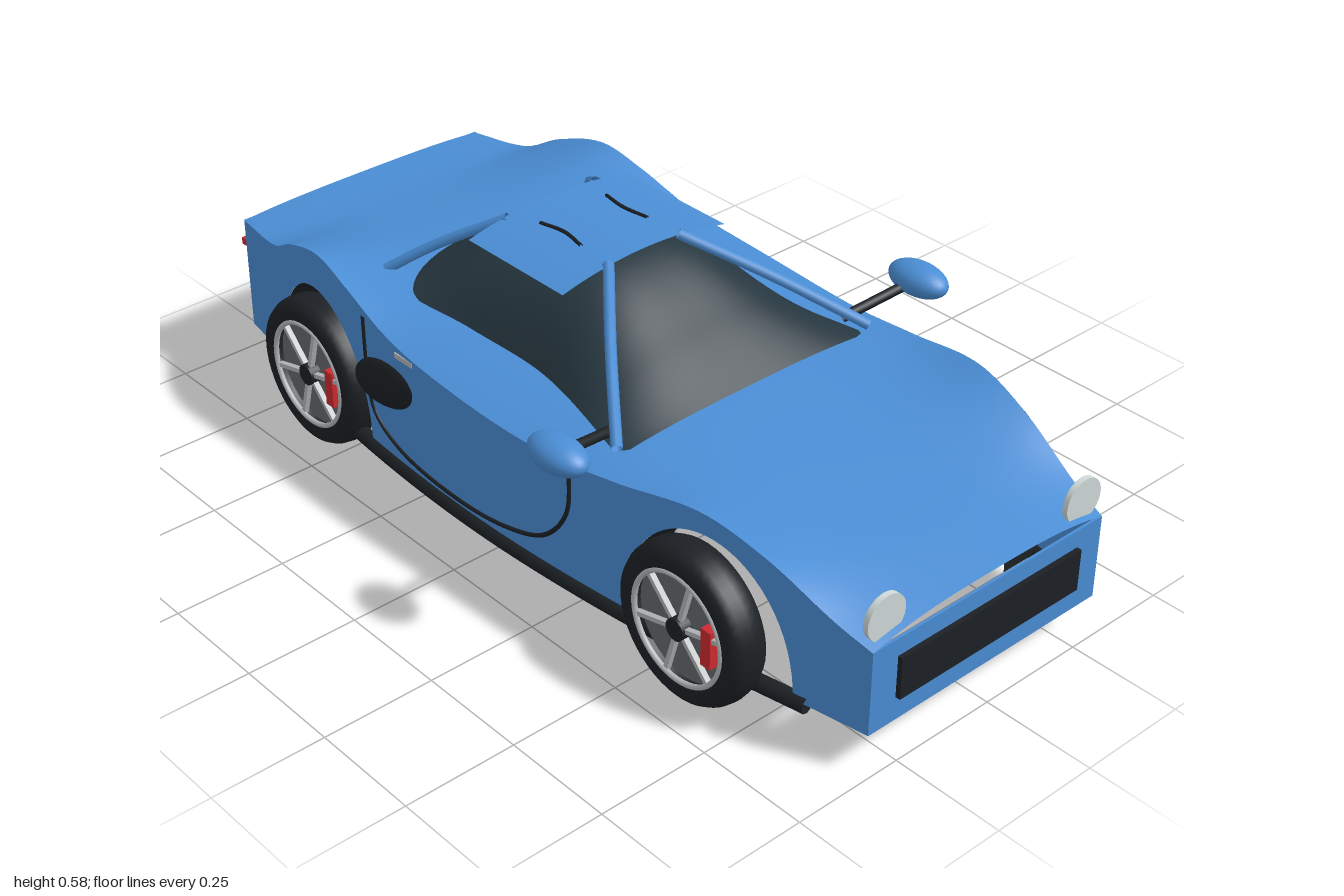
import * as THREE from 'three';

const mat = (color, side = THREE.DoubleSide) => new THREE.MeshStandardMaterial({ color, side });
const BLUE = mat(0x4a8dd4), GLASS = mat(0x26363f), BLACK = mat(0x1c2024), RED = mat(0xcc2a30);
const PALE = mat(0xd0dad8), GREY = mat(0x66696c), SILVER = mat(0xb4b8ba), FLOOR = mat(0x14181c, THREE.FrontSide);
const V = (x, y, z) => new THREE.Vector3(x, y, z);

// Smooth function of x through a few [x, value] points
function profile(pts) {
  const slope = i => {
    const a = pts[Math.max(i - 1, 0)], b = pts[Math.min(i + 1, pts.length - 1)];
    return (b[1] - a[1]) / (b[0] - a[0]);
  };
  return x => {
    let i = 0;
    while (i < pts.length - 2 && x > pts[i + 1][0]) i++;
    const [x0, y0] = pts[i], [x1, y1] = pts[i + 1], d = x1 - x0;
    const t = Math.min(Math.max((x - x0) / d, 0), 1), t2 = t * t, t3 = t2 * t;
    return (2 * t3 - 3 * t2 + 1) * y0 + (t3 - 2 * t2 + t) * d * slope(i)
      + (3 * t2 - 2 * t3) * y1 + (t3 - t2) * d * slope(i + 1);
  };
}

const halfWidth = profile([[-0.96, 0.33], [-0.5, 0.405], [0, 0.43], [0.5, 0.395], [0.985, 0.315]]);
const fenderY = profile([[-0.96, 0.36], [-0.8, 0.375], [-0.7, 0.425], [-0.57, 0.46], [-0.45, 0.435], [-0.3, 0.39],
  [-0.1, 0.37], [0.2, 0.362], [0.4, 0.385], [0.6, 0.415], [0.75, 0.38], [0.9, 0.31], [0.985, 0.28]]);
const centreY = profile([[-0.96, 0.37], [-0.8, 0.38], [-0.57, 0.415], [-0.4, 0.425], [-0.1, 0.41], [0.33, 0.39],
  [0.6, 0.365], [0.8, 0.34], [0.985, 0.308]]);
const ARCHES = [{ x: -0.585, r: 0.203, wheel: -0.58 }, { x: 0.615, r: 0.205, wheel: 0.605 }];
const BASE = 0.09, ARCH_H = 0.278;

// Surface from a grid of points fn(i, j)
function grid(nu, nv, fn) {
  const pos = [], idx = [];
  for (let i = 0; i <= nu; i++) for (let j = 0; j <= nv; j++) pos.push(...fn(i, j));
  for (let i = 0; i < nu; i++) for (let j = 0; j < nv; j++) {
    const a = i * (nv + 1) + j, b = a + nv + 1;
    idx.push(a, a + 1, b, b, a + 1, b + 1);
  }
  const g = new THREE.BufferGeometry();
  g.setAttribute('position', new THREE.Float32BufferAttribute(pos, 3));
  g.setIndex(idx);
  g.computeVertexNormals();
  return g;
}

function add(parent, name, geo, material, x = 0, y = 0, z = 0) {
  const m = new THREE.Mesh(geo, material);
  m.name = name;
  m.position.set(x, y, z);
  parent.add(m);
  return m;
}
const tube = (pts, r, n = 32) => new THREE.TubeGeometry(new THREE.CatmullRomCurve3(pts), n, r, 8);
const box = (x, y, z) => new THREE.BoxGeometry(x, y, z);

// Columns of the side panel, packed closely at the arch ends
function sideColumns() {
  const cols = [];
  const line = (a, b, n) => { for (let i = 0; i <= n; i++) cols.push([a + (b - a) * i / n, BASE]); };
  let from = -0.96;
  for (const { x, r } of ARCHES) {
    line(from, x - r, 16);
    for (let i = 1; i < 32; i++) {
      const a = Math.PI * i / 32;
      cols.push([x - r * Math.cos(a), BASE + ARCH_H * Math.sin(a)]);
    }
    from = x + r;
  }
  line(from, 0.985, 12);
  return cols;
}

function makeWheel() {
  const wheel = new THREE.Group();
  wheel.name = 'wheel';
  const spin = g => g.rotateX(Math.PI / 2);
  const tyre = [[0.122, -0.04], [0.145, -0.044], [0.16, -0.038], [0.169, -0.022], [0.172, 0],
    [0.169, 0.022], [0.16, 0.038], [0.145, 0.044], [0.122, 0.04]].map(p => new THREE.Vector2(...p));
  add(wheel, 'tyre', spin(new THREE.LatheGeometry(tyre, 48)), BLACK);
  add(wheel, 'brakeDisc', spin(new THREE.CylinderGeometry(0.122, 0.122, 0.04, 40)), GREY);
  add(wheel, 'rim', new THREE.TorusGeometry(0.12, 0.006, 8, 48), SILVER, 0, 0, 0.038);
  add(wheel, 'hub', spin(new THREE.CylinderGeometry(0.024, 0.024, 0.03, 20)), BLACK, 0, 0, 0.03);
  for (let i = 0; i < 6; i++) {
    const a = i * Math.PI / 3 + 0.25;
    const spoke = add(wheel, 'spoke', box(0.1, 0.01, 0.012), SILVER, 0.07 * Math.cos(a), 0.07 * Math.sin(a), 0.033);
    spoke.rotation.z = a;
  }
  add(wheel, 'brakeCaliper', box(0.026, 0.085, 0.025), RED, 0.08, 0, 0.028);
  return wheel;
}

// Everything on the +z side; mirrored for the other one
function makeSide() {
  const side = new THREE.Group();
  const cols = sideColumns();
  add(side, 'sidePanel', grid(cols.length - 1, 8, (i, j) => {
    const [x, y0] = cols[i];
    return [x, y0 + (fenderY(x) - y0) * j / 8, halfWidth(x)];
  }), BLUE);

  for (const { x, r, wheel } of ARCHES) {
    add(side, 'archLining', grid(32, 1, (i, j) => {
      const a = Math.PI * i / 32, px = x - r * Math.cos(a);
      return [px, BASE + ARCH_H * Math.sin(a), halfWidth(px) - 0.002 - j * 0.1];
    }), BLACK);
    const w = makeWheel();
    w.position.set(wheel, 0.177, 0.4);
    side.add(w);
  }

  const sill = [-0.84, -0.6, -0.3, 0, 0.3, 0.6, 0.85].map(x => V(x, 0.091 - 0.008 * (1 - x * x), halfWidth(x) - 0.003));
  add(side, 'sill', tube(sill, 0.018, 48), BLACK);

  // Door seam and side intake
  const seam = [[0.275, 0.362], [0.265, 0.25], [0.2, 0.165], [0.08, 0.125], [-0.1, 0.113], [-0.28, 0.132],
    [-0.365, 0.18], [-0.385, 0.27], [-0.39, 0.4]].map(([x, y]) => V(x, y, halfWidth(x)));
  add(side, 'doorSeam', tube(seam, 0.005, 64), BLACK);
  const intake = add(side, 'sideIntake', new THREE.SphereGeometry(1, 32, 16), BLACK, -0.315, 0.27, 0.415);
  intake.scale.set(0.115, 0.056, 0.025);
  intake.rotation.z = 0.25;
  add(side, 'doorHandle', box(0.06, 0.012, 0.014), SILVER, -0.24, 0.365, 0.42);

  // Mirror on its stalk
  add(side, 'mirrorStalk', tube([V(0.28, 0.405, 0.32), V(0.32, 0.445, 0.48)], 0.011, 4), BLACK);
  add(side, 'mirror', new THREE.SphereGeometry(1, 32, 20), BLUE, 0.33, 0.454, 0.49).scale.set(0.075, 0.035, 0.045);

  // Roof pillars
  add(side, 'frontPillar', tube([V(0.33, 0.4, 0.345), V(0.17, 0.495, 0.22), V(0.02, 0.578, 0.095)], 0.012), BLUE);
  add(side, 'rearPillar', tube([V(-0.48, 0.425, 0.285), V(-0.4, 0.49, 0.215), V(-0.27, 0.573, 0.12)], 0.012), BLUE);
  add(side, 'roofVent', tube([V(-0.2, 0.58, 0.09), V(-0.135, 0.582, 0.08), V(-0.07, 0.58, 0.09)], 0.004, 12), BLACK);

  // Lamps and exhaust
  const lamp = new THREE.CylinderGeometry(0.049, 0.049, 0.012, 32).rotateZ(Math.PI / 2);
  add(side, 'headlight', lamp, PALE, 0.966, 0.33, 0.27);
  add(side, 'tailLight', box(0.022, 0.016, 0.22), RED, -0.966, 0.302, 0.22);
  const pipe = [[0.024, -0.03], [0.024, 0.03], [0.03, 0.03], [0.03, -0.03], [0.024, -0.03]].map(p => new THREE.Vector2(...p));
  add(side, 'exhaust', new THREE.LatheGeometry(pipe, 24).rotateZ(Math.PI / 2), SILVER, -0.968, 0.147, 0.255);
  return side;
}

export function createModel() {
  const car = new THREE.Group();
  car.name = 'sportsCar';

  // Bonnet and rear deck in one skin
  add(car, 'upperBody', grid(90, 28, (i, j) => {
    const x = -0.96 + 1.945 * i / 90, t = j / 14 - 1, k = Math.abs(t) ** 3;
    return [x, centreY(x) + (fenderY(x) - centreY(x)) * k, t * halfWidth(x)];
  }), BLUE);

  // Nose and tail panels with dark grilles
  add(car, 'nosePanel', box(0.006, 0.19, 0.63), BLUE, 0.982, 0.185, 0);
  add(car, 'noseGrille', box(0.016, 0.095, 0.495), BLACK, 0.988, 0.192, 0);
  add(car, 'tailPanel', box(0.006, 0.272, 0.66), BLUE, -0.957, 0.226, 0);
  add(car, 'tailGrille', box(0.014, 0.055, 0.46), BLACK, -0.962, 0.215, 0);
  add(car, 'floor', new THREE.PlaneGeometry(1.74, 0.68).rotateX(Math.PI / 2), FLOOR, -0.08, 0.084, 0);
  for (let i = -2; i <= 2; i++) add(car, 'diffuserFin', box(0.13, 0.038, 0.012), BLACK, -0.935, 0.092, i * 0.105);

  // Cabin glass
  const ridge = profile([[-0.49, 0.42], [-0.4, 0.475], [-0.27, 0.555], [-0.12, 0.576], [0.03, 0.565], [0.2, 0.475], [0.33, 0.395]]);
  const width = profile([[-0.49, 0.27], [-0.4, 0.305], [-0.2, 0.285], [0.03, 0.275], [0.33, 0.34]]);
  add(car, 'cabinGlass', grid(48, 28, (i, j) => {
    const x = -0.49 + 0.82 * i / 48, t = j / 14 - 1, k = Math.abs(t) ** 3;
    const foot = Math.min(centreY(x) - 0.01, ridge(x));
    const shift = 0.05 * t * t * Math.max(0, -x - 0.2) / 0.29;
    return [x + shift, ridge(x) + (foot - ridge(x)) * k, t * width(x)];
  }), GLASS);

  // Thin arched roof panel
  add(car, 'roofPanel', grid(1, 16, (i, j) => {
    const t = j / 8 - 1;
    return [-0.275 + 0.3 * i, 0.583 - 0.027 * t * t, 0.22 * t];
  }), BLUE);

  for (const s of [1, -1]) {
    const side = makeSide();
    side.name = s > 0 ? 'leftwardSide' : 'mirroredSide';
    side.scale.z = s;
    car.add(side);
  }
  return car;
}
